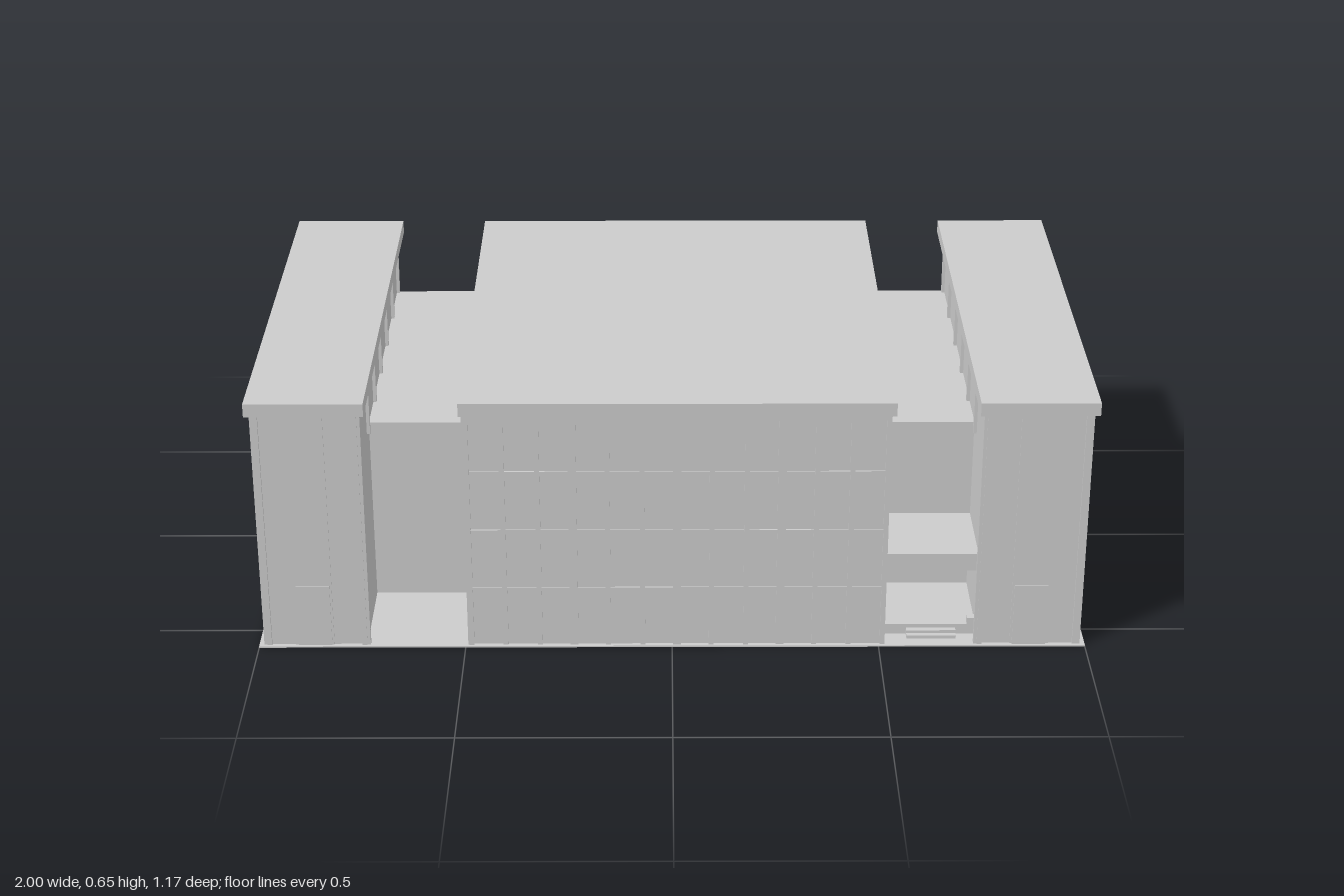
import * as THREE from 'three';

const BACK = -0.513, FRONT = 0.573, EAVE = 0.617, TOP = 0.65, GROUND = 0.004;
const material = new THREE.MeshStandardMaterial({ color: 0xcccccc, flatShading: true });

// Box given by its lower and upper limits on each axis
function box(parent, name, x0, x1, y0, y1, z0, z1) {
  const mesh = new THREE.Mesh(new THREE.BoxGeometry(x1 - x0, y1 - y0, z1 - z0), material);
  mesh.position.set((x0 + x1) / 2, (y0 + y1) / 2, (z0 + z1) / 2);
  mesh.name = name;
  parent.add(mesh);
  return mesh;
}

const floors = [0.155, 0.31, 0.465];
const sideColumns = [0.571, 0.364, 0.19, 0.02, -0.153, -0.333, -0.507];

// Columns and floor bands on a wall facing +x or -x
function dressSide(parent, x, dir, yMin = GROUND) {
  const side = new THREE.Group();
  side.name = 'sideFacade';
  const span = d => [Math.min(x, x + dir * d), Math.max(x, x + dir * d)];
  for (const z of sideColumns) box(side, 'column', ...span(0.008), yMin, EAVE, z - 0.006, z + 0.006);
  for (const y of floors) {
    if (y > yMin) box(side, 'floorBand', ...span(0.004), y - 0.005, y + 0.005, BACK + 0.006, FRONT);
  }
  parent.add(side);
}

// Columns on a wall facing +z
function dressFront(parent, xs, wide = []) {
  xs.forEach((x, i) => {
    const w = wide.includes(i) ? 0.01 : 0.006;
    box(parent, 'column', x - w, x + w, GROUND, EAVE, FRONT, FRONT + 0.006);
  });
}

function makeWing(dir) {
  const wing = new THREE.Group();
  wing.name = dir > 0 ? 'leftWing' : 'rightWing';
  const span = (a, b) => (dir > 0 ? [a, b] : [-b, -a]);
  box(wing, 'wingWalls', ...span(0.738, 0.98), GROUND, EAVE, BACK, FRONT);
  box(wing, 'wingRoof', ...span(0.72, 1), EAVE, TOP, -0.585, 0.585);
  dressSide(wing, dir * 0.98, dir);
  dressSide(wing, dir * 0.738, -dir, 0.47);
  // Plain lower corner column on the courtyard wall
  box(wing, 'courtColumn', ...span(0.73, 0.738), GROUND, 0.47, 0.565, 0.577);
  dressFront(wing, [0.975, 0.744].map(x => x * dir));
  box(wing, 'frontPanel', ...span(0.818, 0.912), GROUND, EAVE, FRONT, FRONT + 0.003);
  box(wing, 'door', ...span(0.823, 0.904), GROUND, 0.165, FRONT, FRONT + 0.006);
  return wing;
}

function makeHall() {
  const hall = new THREE.Group();
  hall.name = 'mainHall';
  box(hall, 'hallWalls', -0.486, 0.506, GROUND, EAVE, BACK, FRONT);
  box(hall, 'hallRoof', -0.5, 0.525, EAVE, TOP, -0.585, 0.585);
  const xs = Array.from({ length: 13 }, (_, i) => -0.485 + i * 0.0828);
  dressFront(hall, xs, [3, 6, 9]);
  for (const y of floors) box(hall, 'floorBand', -0.486, 0.506, y - 0.005, y + 0.005, FRONT, FRONT + 0.003);
  dressSide(hall, 0.506, 1, 0.47);
  dressSide(hall, -0.486, -1, 0.47);
  for (const [a, b] of [[0.506, 0.514], [-0.494, -0.486]]) {
    box(hall, 'courtColumn', a, b, GROUND, 0.47, 0.565, 0.577);
  }
  return hall;
}

function makeEntrance() {
  const entrance = new THREE.Group();
  entrance.name = 'entrance';
  box(entrance, 'canopy', 0.508, 0.738, 0.18, 0.225, 0.31, 0.53);
  box(entrance, 'lintel', 0.508, 0.738, 0.14, 0.18, 0.31, 0.325);
  box(entrance, 'platform', 0.508, 0.738, GROUND, 0.03, 0.31, 0.527);
  box(entrance, 'lowerStep', 0.57, 0.69, GROUND, 0.02, 0.527, 0.54);
  box(entrance, 'bottomStep', 0.57, 0.69, GROUND, 0.012, 0.54, 0.552);
  box(entrance, 'post', 0.718, 0.738, 0.03, 0.046, 0.505, 0.527);
  return entrance;
}

export function createModel() {
  const model = new THREE.Group();
  model.name = 'building';
  box(model, 'base', -1, 1, 0, GROUND, -0.585, 0.585);
  model.add(makeHall(), makeWing(1), makeWing(-1));
  // Low blocks joining the hall to each wing
  box(model, 'link', 0.506, 0.738, GROUND, 0.475, BACK, 0.315);
  box(model, 'link', -0.738, -0.486, GROUND, 0.475, BACK, 0.315);
  model.add(makeEntrance());
  return model;
}
